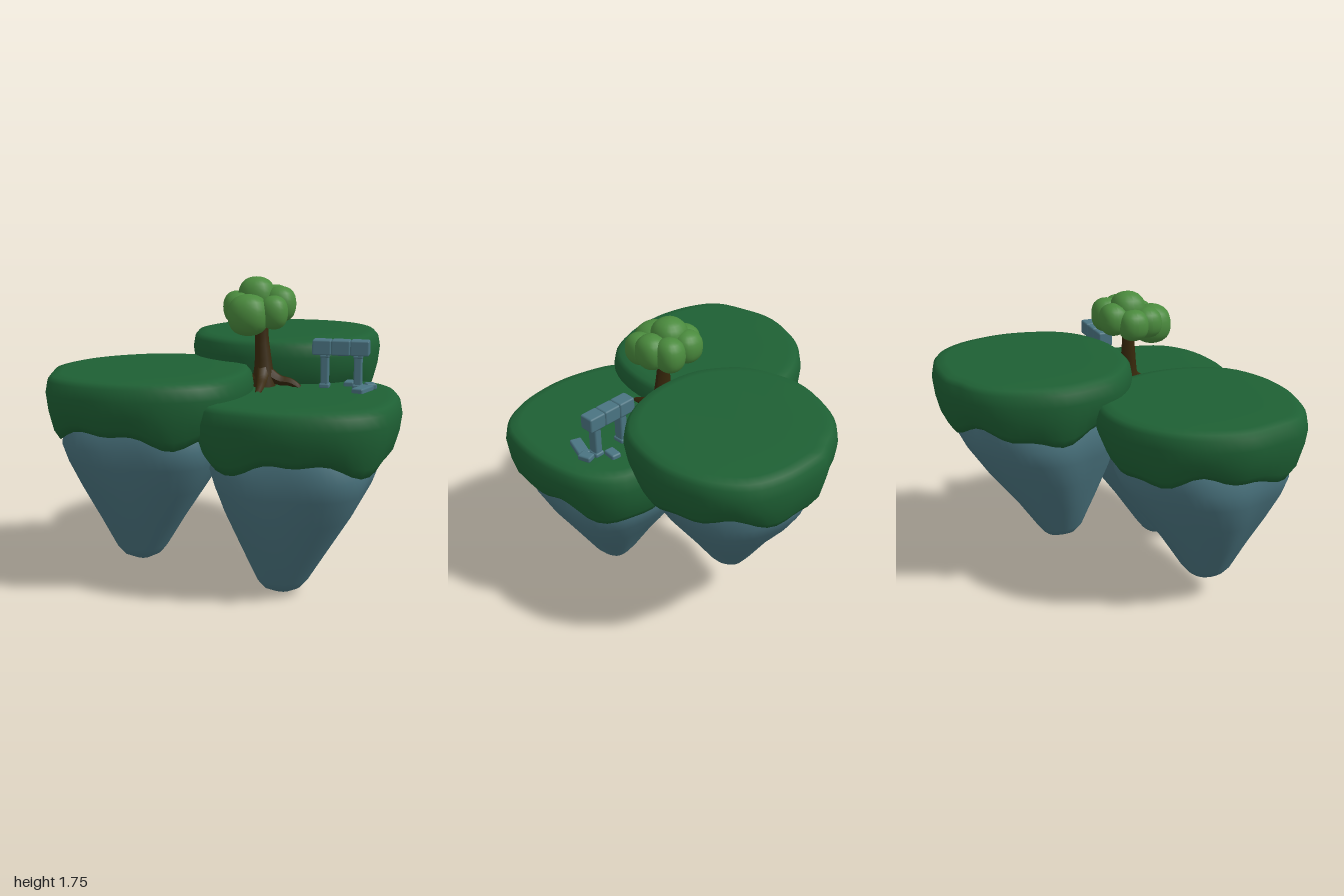
import * as THREE from 'three';
import { mergeVertices } from 'three/addons/utils/BufferGeometryUtils.js';
import { RoundedBoxGeometry } from 'three/addons/geometries/RoundedBoxGeometry.js';

const mat = (name, color) => {
  const m = new THREE.MeshStandardMaterial({ color });
  m.name = name;
  return m;
};

// Smooth closed surface through rings ordered from top to bottom
function loft(rings) {
  const n = rings[0].length, index = [];
  for (let i = 0; i < rings.length - 1; i++) {
    for (let j = 0; j < n; j++) {
      const k = (j + 1) % n;
      const a = i * n + j, b = i * n + k, c = a + n, d = b + n;
      index.push(a, b, c, b, d, c);
    }
  }
  let g = new THREE.BufferGeometry();
  g.setAttribute('position', new THREE.Float32BufferAttribute(rings.flat(2), 3));
  g.setIndex(index);
  g = mergeVertices(g);
  g.computeVertexNormals();
  return g;
}

// Tapered tube: each ring is rescaled about the path
function limb(points, radii, sides = 7) {
  const curve = new THREE.CatmullRomCurve3(points.map(p => new THREE.Vector3(...p)));
  const steps = 10, g = new THREE.TubeGeometry(curve, steps, 1, sides, false);
  const pos = g.attributes.position, v = new THREE.Vector3();
  for (let i = 0; i <= steps; i++) {
    const f = (i / steps) * (radii.length - 1), k = Math.min(Math.floor(f), radii.length - 2);
    const r = THREE.MathUtils.lerp(radii[k], radii[k + 1], f - k);
    const centre = curve.getPointAt(i / steps);
    for (let j = 0; j <= sides; j++) {
      const at = i * (sides + 1) + j;
      v.fromBufferAttribute(pos, at).sub(centre).multiplyScalar(r).add(centre);
      pos.setXYZ(at, v.x, v.y, v.z);
    }
  }
  g.computeVertexNormals();
  return g;
}

// Ball pushed slightly towards a cube
function puffGeometry() {
  const g = new THREE.SphereGeometry(1, 20, 14), pos = g.attributes.position;
  const v = new THREE.Vector3();
  for (let i = 0; i < pos.count; i++) {
    v.fromBufferAttribute(pos, i);
    const len = (v.x ** 4 + v.y ** 4 + v.z ** 4) ** 0.25;
    v.multiplyScalar(0.72 + 0.28 / len);
    pos.setXYZ(i, v.x, v.y, v.z);
  }
  g.computeVertexNormals();
  return g;
}

export function createModel() {
  const grass = mat('grass', 0x1e6034);
  const rock = mat('rock', 0x4a747f);
  const leaf = mat('leaves', 0x4a8a3d);
  const bark = mat('bark', 0x38280b);
  const stone = mat('ruin stone', 0x4a7482);

  const model = new THREE.Group();
  model.name = 'floatingIslands';
  const add = (parent, name, geometry, material) => {
    const m = new THREE.Mesh(geometry, material);
    m.name = name;
    parent.add(m);
    return m;
  };

  // Islands: outline [x, z] runs right, front, left, back
  const islands = [
    { name: 'leftIsland', top: 1.25, centre: [-0.42, 0.385], tip: [-0.48, 0.43], seed: 0.4,
      outline: [[0.16, 0.45], [0.1, 0.7], [0, 0.84], [-0.2, 0.94], [-0.4, 0.97], [-0.56, 0.96], [-0.76, 0.9],
        [-0.9, 0.8], [-0.97, 0.6], [-1, 0.4], [-0.93, 0.16], [-0.82, 0], [-0.63, -0.14], [-0.43, -0.2],
        [-0.2, -0.17], [0.02, -0.02], [0.13, 0.2]] },
    { name: 'rightIsland', top: 1.13, centre: [0.42, 0.4], tip: [0.36, 0.5], seed: 2.1,
      outline: [[1, 0.4], [0.98, 0.6], [0.93, 0.76], [0.85, 0.85], [0.7, 0.93], [0.42, 0.97], [0.2, 0.94],
        [-0.02, 0.855], [-0.1, 0.72], [-0.15, 0.45], [-0.1, 0.2], [0.05, 0], [0.3, -0.13], [0.55, -0.155],
        [0.77, -0.12], [0.86, -0.06], [0.94, 0.06], [0.98, 0.2]] },
    { name: 'backIsland', top: 1.385, centre: [0.23, -0.4], tip: [0.12, -0.29], seed: 4.3,
      outline: [[0.81, -0.4], [0.78, -0.2], [0.72, -0.05], [0.6, 0.07], [0.4, 0.16], [0.2, 0.18], [0, 0.15],
        [-0.14, 0.07], [-0.26, -0.05], [-0.32, -0.2], [-0.35, -0.4], [-0.3, -0.6], [-0.2, -0.78], [-0.08, -0.88],
        [0.02, -0.92], [0.1, -0.965], [0.25, -0.975], [0.42, -0.96], [0.6, -0.89], [0.72, -0.75], [0.78, -0.6]] },
  ];
  // Profiles: [scale of outline, drop from top, third value = wave or shift to tip]
  const turf = [[0, 0, 0], [0.5, 0, 0], [0.85, 0, 0], [0.94, -0.008, 0], [0.98, -0.035, 0], [1, -0.1, 0],
    [0.98, -0.19, 0.3], [0.935, -0.28, 0.8], [0.88, -0.325, 1], [0.76, -0.28, 1]];
  const crag = [[0.74, -0.2, 0.1], [0.8, -0.3, 0.15], [0.82, -0.4, 0.2], [0.77, -0.5, 0.3], [0.64, -0.66, 0.5],
    [0.43, -0.86, 0.8], [0.25, -1.04, 1], [0.18, -1.09, 1], [0.08, -1.12, 1], [0, -1.127, 1]];

  for (const { name, top, centre: [cx, cz], tip, seed, outline } of islands) {
    const island = new THREE.Group();
    island.name = name;
    model.add(island);
    const edge = new THREE.CatmullRomCurve3(outline.map(([x, z]) => new THREE.Vector3(x, 0, z)), true)
      .getSpacedPoints(56).slice(0, 56);
    const angle = p => Math.atan2(p.z - cz, p.x - cx);

    add(island, 'grassTop', loft(turf.map(([s, drop, wave]) => edge.map(p => {
      const a = angle(p);
      const w = 0.035 * Math.sin(4 * a + seed) + 0.018 * Math.sin(9 * a + 2 * seed);
      return [cx + (p.x - cx) * s, top + drop + w * wave, cz + (p.z - cz) * s];
    }))), grass);

    add(island, 'hangingRock', loft(crag.map(([s, drop, shift]) => edge.map(p => {
      const a = angle(p);
      const r = s * (1 + 0.025 * Math.sin(3 * a + seed * 3 + drop * 4) + 0.018 * Math.sin(5 * a - drop * 7));
      return [cx + (tip[0] - cx) * shift + (p.x - cx) * r, top + drop,
        cz + (tip[1] - cz) * shift + (p.z - cz) * r];
    }))), rock);
  }

  // Tree
  const tree = new THREE.Group();
  tree.name = 'tree';
  model.add(tree);
  add(tree, 'trunk', limb([[0.19, 1.1, 0.21], [0.19, 1.25, 0.205], [0.18, 1.4, 0.2], [0.18, 1.56, 0.195]],
    [0.078, 0.052, 0.04, 0.034]), bark);
  const roots = [
    [[0.19, 1.22, 0.2], [0.28, 1.165, 0.2], [0.35, 1.155, 0.205], [0.405, 1.125, 0.21]],
    [[0.19, 1.23, 0.21], [0.195, 1.175, 0.29], [0.2, 1.15, 0.36], [0.2, 1.125, 0.435]],
    [[0.19, 1.22, 0.2], [0.14, 1.17, 0.22], [0.1, 1.15, 0.23], [0.06, 1.12, 0.24]],
    [[0.19, 1.22, 0.2], [0.2, 1.16, 0.14], [0.21, 1.13, 0.08], [0.21, 1.11, 0.04]],
  ];
  for (const path of roots) add(tree, 'root', limb(path, [0.045, 0.034, 0.026, 0.016], 6), bark);

  // Foliage: centre, then radii
  const puff = puffGeometry();
  for (const [x, y, z, rx, ry, rz] of [
    [0.145, 1.642, 0.18, 0.105, 0.113, 0.105],
    [0.125, 1.55, 0.325, 0.117, 0.117, 0.114],
    [0.265, 1.565, 0.3, 0.08, 0.095, 0.085],
    [0.283, 1.6, 0.18, 0.09, 0.102, 0.095],
    [0.24, 1.6, 0.08, 0.085, 0.102, 0.088],
    [0.11, 1.605, 0.075, 0.09, 0.095, 0.085],
    [0.035, 1.58, 0.17, 0.085, 0.092, 0.09],
    [0.06, 1.58, 0.27, 0.085, 0.09, 0.085],
  ]) {
    const m = add(tree, 'foliage', puff, leaf);
    m.position.set(x, y, z);
    m.scale.set(rx, ry, rz);
  }

  // Ruined stone gate: centre, size, turn about y
  const gate = new THREE.Group();
  gate.name = 'stoneGate';
  model.add(gate);
  const block = (name, [x, y, z], [w, h, d], turn = 0) => {
    const m = add(gate, name, new RoundedBoxGeometry(w, h, d, 1, 0.01), stone);
    m.position.set(x, y, z);
    m.rotation.y = turn;
  };
  for (let i = 0; i < 3; i++) block('lintelBlock', [0.526 + i * 0.108, 1.361, 0.173], [0.108, 0.088, 0.09]);
  for (const x of [0.543, 0.733]) {
    block('post', [x, 1.23, 0.178], [0.046, 0.22, 0.062]);
    block('postFoot', [x, 1.14, 0.178], [0.06, 0.03, 0.075]);
    block('postHead', [x, 1.312, 0.178], [0.056, 0.022, 0.07]);
  }
  block('fallenSlab', [0.77, 1.14, 0.275], [0.07, 0.035, 0.16], -0.35);
  block('fallenSlab', [0.805, 1.145, 0.18], [0.06, 0.035, 0.08], 0.3);
  block('fallenSlab', [0.68, 1.14, 0.1], [0.06, 0.035, 0.085], -0.1);

  return model;
}
